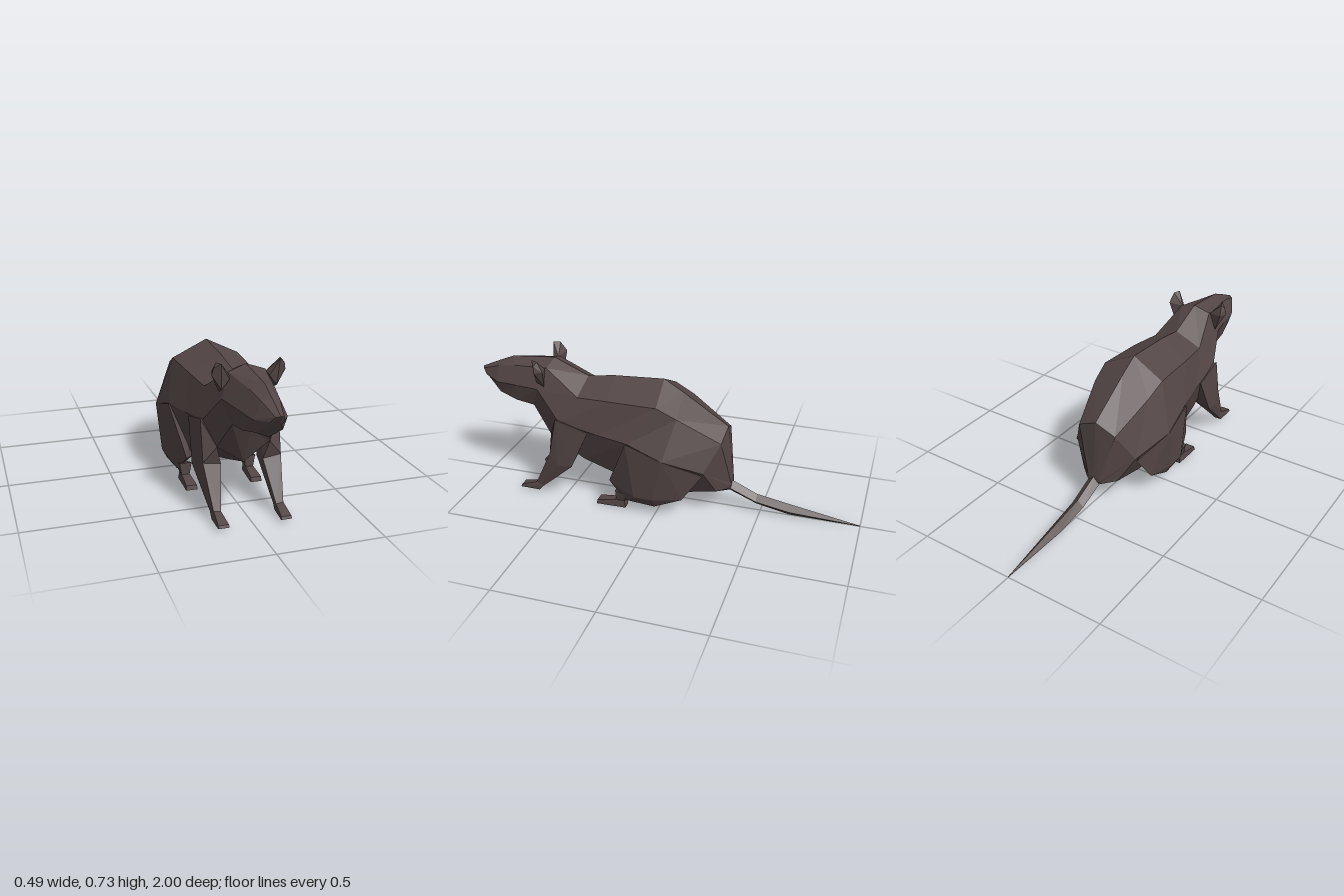
import * as THREE from 'three';
import { ConvexGeometry } from 'three/addons/geometries/ConvexGeometry.js';

const fur = new THREE.MeshStandardMaterial({ color: 0x544646 });
fur.name = 'darkFur';
fur.flatShading = true;

// Skin a series of closed rings (front to back) and cap both ends
function loft(rings) {
  const n = rings[0].length, pos = [];
  const tri = (...p) => p.forEach(v => pos.push(...v));
  for (let r = 0; r < rings.length - 1; r++) {
    for (let i = 0; i < n; i++) {
      const j = (i + 1) % n, a = rings[r], b = rings[r + 1];
      tri(a[i], a[j], b[i]);
      tri(a[j], b[j], b[i]);
    }
  }
  const front = rings[0], back = rings[rings.length - 1];
  for (let i = 1; i < n - 1; i++) {
    tri(front[0], front[i + 1], front[i]);
    tri(back[0], back[i], back[i + 1]);
  }
  const g = new THREE.BufferGeometry();
  g.setAttribute('position', new THREE.Float32BufferAttribute(pos, 3));
  g.computeVertexNormals();
  return g;
}

// Complete a half ring (top centre to bottom centre, left side) by mirroring
const mirrorRing = half => [
  ...half,
  ...half.slice(1, -1).reverse().map(([x, y, z]) => [-x, y, z]),
];

// Faceted convex form from corner points, mirrored when side is -1
const hull = (points, side) =>
  new ConvexGeometry(points.map(([x, y, z]) => new THREE.Vector3(x * side, y, z)));

function add(parent, name, geometry) {
  const mesh = new THREE.Mesh(geometry, fur);
  mesh.name = name;
  parent.add(mesh);
}

// Half rings of head and body, nose to rump: back, upper side, side, lower side, belly
const bodyRings = [
  [[0, 0.605, 1], [0.018, 0.60, 0.99], [0.032, 0.575, 0.97], [0.02, 0.555, 0.96], [0, 0.54, 0.95]],
  [[0, 0.65, 0.90], [0.04, 0.635, 0.89], [0.075, 0.56, 0.89], [0.06, 0.50, 0.88], [0, 0.475, 0.88]],
  [[0, 0.683, 0.82], [0.055, 0.655, 0.79], [0.1, 0.565, 0.76], [0.08, 0.475, 0.78], [0, 0.455, 0.79]],
  [[0, 0.703, 0.59], [0.085, 0.675, 0.60], [0.125, 0.57, 0.64], [0.09, 0.465, 0.68], [0, 0.425, 0.67]],
  [[0, 0.625, 0.41], [0.135, 0.56, 0.42], [0.175, 0.43, 0.51], [0.125, 0.325, 0.575], [0, 0.24, 0.58]],
  [[0, 0.645, 0.27], [0.155, 0.57, 0.25], [0.195, 0.40, 0.30], [0.13, 0.22, 0.40], [0, 0.18, 0.41]],
  [[0, 0.66, 0.01], [0.168, 0.575, 0], [0.225, 0.39, 0.13], [0.14, 0.16, 0.20], [0, 0.13, 0.22]],
  [[0, 0.60, -0.09], [0.158, 0.525, -0.1], [0.244, 0.33, -0.05], [0.11, 0.10, -0.11], [0, 0.06, -0.12]],
  [[0, 0.45, -0.32], [0.105, 0.40, -0.31], [0.175, 0.26, -0.24], [0.1, 0.13, -0.29], [0, 0.09, -0.33]],
  [[0, 0.16, -0.35], [0.03, 0.15, -0.35], [0.035, 0.135, -0.35], [0.025, 0.115, -0.35], [0, 0.1, -0.35]],
];

// Tail sections: z, half width, top, bottom
const tailSections = [
  [-0.32, 0.035, 0.165, 0.10], [-0.48, 0.033, 0.092, 0.035],
  [-0.65, 0.03, 0.062, 0.002], [-1, 0.001, 0.004, 0],
];

// Left ear
const ear = [
  [0.085, 0.67, 0.61], [0.125, 0.59, 0.60], [0.09, 0.655, 0.64], [0.125, 0.61, 0.64],
  [0.132, 0.73, 0.655], [0.145, 0.728, 0.62], [0.16, 0.708, 0.635], [0.167, 0.675, 0.63],
  [0.155, 0.68, 0.59],
];

// Left front leg: shared elbow and ankle corners join the pieces
const elbow = [
  [0.20, 0.20, 0.44], [0.197, 0.19, 0.52], [0.185, 0.25, 0.565],
  [0.10, 0.235, 0.56], [0.11, 0.21, 0.45],
];
const wrist = [[0.13, 0.05, 0.66], [0.165, 0.055, 0.66], [0.17, 0.04, 0.62], [0.13, 0.04, 0.62]];
const upperFrontLeg = [
  ...elbow, [0.185, 0.445, 0.525], [0.19, 0.40, 0.35], [0.125, 0.325, 0.58], [0.12, 0.42, 0.45],
];
const frontFoot = [
  ...wrist, [0.12, 0.015, 0.75], [0.172, 0.015, 0.75], [0.122, 0.028, 0.745],
  [0.17, 0.028, 0.745], [0.13, 0.013, 0.645], [0.17, 0.013, 0.645],
];

// Left hind leg
const thigh = [
  [0.23, 0.39, 0.14], [0.245, 0.33, -0.05], [0.18, 0.25, -0.24], [0.23, 0.10, 0],
  [0.205, 0.05, 0], [0.23, 0.10, 0.10], [0.195, 0.055, 0.16], [0.17, 0.14, 0.25],
  [0.20, 0.11, -0.14], [0.12, 0.30, 0.12], [0.11, 0.13, 0.18], [0.12, 0.09, -0.08],
];
const ankle = [[0.145, 0.04, 0.21], [0.185, 0.04, 0.21], [0.185, 0.04, 0.165], [0.145, 0.04, 0.165]];
const shin = [
  ...ankle, [0.135, 0.10, 0.21], [0.195, 0.10, 0.21], [0.2, 0.08, 0.14], [0.14, 0.08, 0.14],
];
const hindFoot = [
  ...ankle, [0.135, 0.003, 0.315], [0.192, 0.003, 0.315], [0.138, 0.025, 0.31],
  [0.19, 0.025, 0.31], [0.145, 0.004, 0.16], [0.19, 0.004, 0.16],
];

export function createModel() {
  const model = new THREE.Group();
  model.name = 'rodent';

  add(model, 'headAndBody', loft(bodyRings.map(mirrorRing)));
  add(model, 'tail', loft(tailSections.map(([z, w, top, bottom]) => {
    const mid = (top + bottom) / 2;
    return [[0, top, z], [w, mid, z], [0, bottom, z], [-w, mid, z]];
  })));

  for (const [label, side] of [['left', 1], ['right', -1]]) {
    add(model, label + 'Ear', hull(ear, side));

    const frontLeg = new THREE.Group();
    frontLeg.name = label + 'FrontLeg';
    add(frontLeg, 'upperLeg', hull(upperFrontLeg, side));
    add(frontLeg, 'lowerLeg', hull([...elbow, ...wrist], side));
    add(frontLeg, 'foot', hull(frontFoot, side));

    const hindLeg = new THREE.Group();
    hindLeg.name = label + 'HindLeg';
    add(hindLeg, 'thigh', hull(thigh, side));
    add(hindLeg, 'shin', hull(shin, side));
    add(hindLeg, 'foot', hull(hindFoot, side));

    model.add(frontLeg, hindLeg);
  }
  return model;
}
